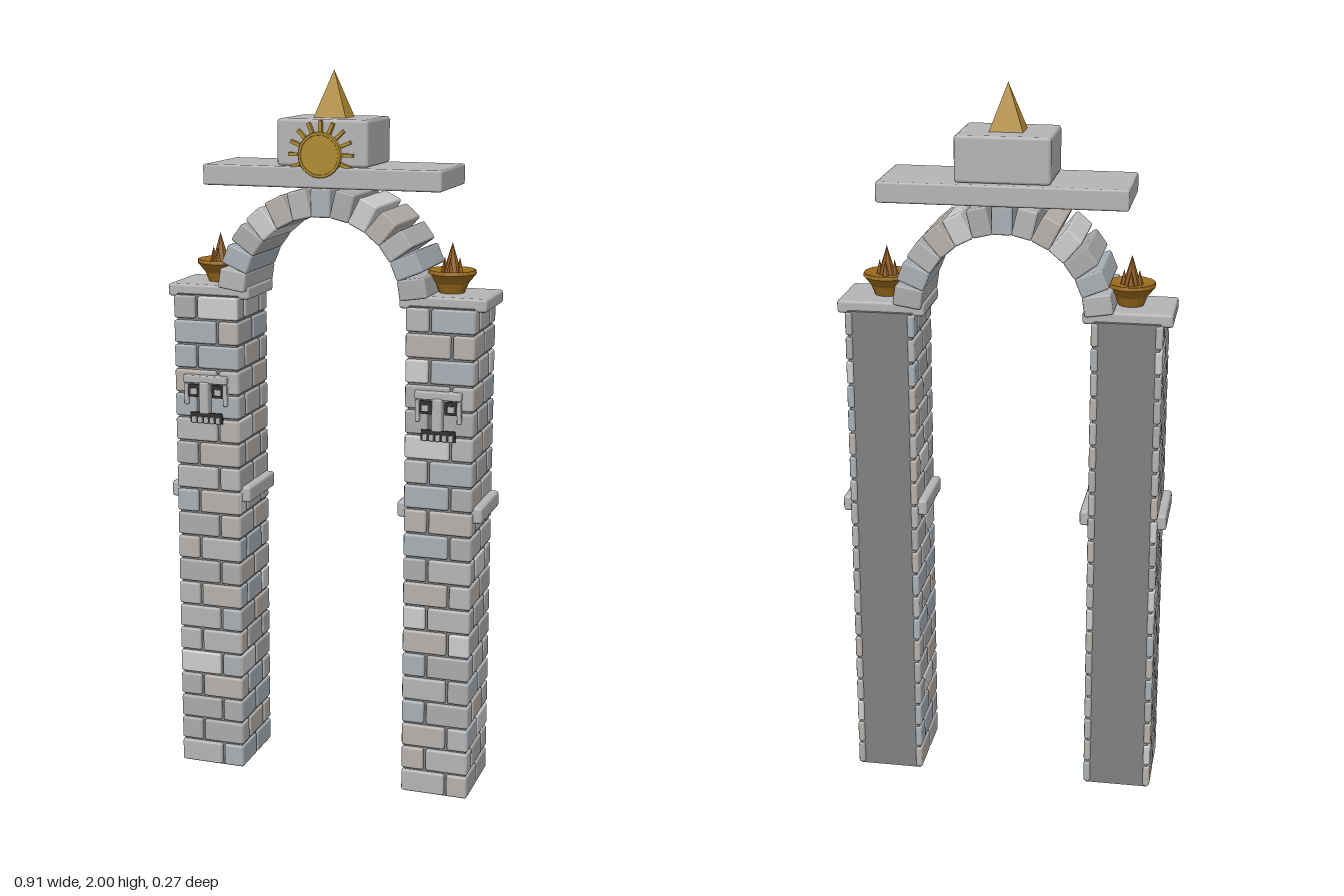
import * as THREE from 'three';
import { RoundedBoxGeometry } from 'three/addons/geometries/RoundedBoxGeometry.js';

const mat = (color, flatShading = false) => new THREE.MeshStandardMaterial({ color, flatShading });
const stone = mat(0xb4b4b4);
const mortar = mat(0x808080);
const dark = mat(0x303030);
const gold = mat(0xb08a30, true);
const bronze = mat(0x9a6a1c, true);
const flameMat = mat(0x8f5a1c, true);
const brickMats = [0xb4b4b4, 0xaaaaaa, 0xb5b0ac, 0xa9afb5, 0xbcbcbc].map((c) => mat(c));

const PILLAR_X = 0.335, MID_Z = -0.007, ROWS = 20, ROW_H = 0.0695;

function add(parent, name, geometry, material, x = 0, y = 0, z = 0) {
  const mesh = new THREE.Mesh(geometry, material);
  mesh.name = name;
  mesh.position.set(x, y, z);
  parent.add(mesh);
  return mesh;
}

const slab = (w, h, d, r = 0.006) => new RoundedBoxGeometry(w, h, d, 1, r);

// Splits the span a..b at the given fractions, leaving a joint between pieces
function split(a, b, cuts, joint = 0.007) {
  const stops = [0, ...cuts, 1].map((t) => a + (b - a) * t);
  return stops.slice(1).map((end, i) => {
    const from = stops[i] + (i ? joint / 2 : 0);
    const to = end - (i < cuts.length ? joint / 2 : 0);
    return { mid: (from + to) / 2, size: to - from };
  });
}

function makePillar(seed) {
  const pillar = new THREE.Group();
  pillar.name = 'pillar';
  let n = seed;
  const tint = () => brickMats[(n = (n * 37 + 11) % 101) % brickMats.length];

  add(pillar, 'pillarCore', new THREE.BoxGeometry(0.178, 1.39, 0.214), mortar, 0, 0.695, -0.01);

  // Brick facing on the front and both sides; the back stays plain
  for (let row = 0; row < ROWS; row++) {
    const y = (row + 0.5) * ROW_H;
    const h = ROW_H - 0.006;
    for (const p of split(-0.095, 0.095, [row % 2 ? 0.35 : 0.67])) {
      add(pillar, 'frontBrick', slab(p.size, h, 0.03), tint(), p.mid, y, 0.093);
    }
    for (const side of [-1, 1]) {
      for (const p of split(-0.122, 0.106, row % 2 ? [0.25, 0.75] : [0.5])) {
        add(pillar, 'sideBrick', slab(0.02, h, p.size), tint(), side * 0.086, y, p.mid);
      }
    }
  }

  add(pillar, 'middleBand', slab(0.24, 0.045, 0.2, 0.008), stone, 0, 0.825, -0.01);
  add(pillar, 'capital', slab(0.242, 0.036, 0.192, 0.008), stone, 0, 1.398, -0.01);
  pillar.add(makeFace(), makeBrazier());
  return pillar;
}

// Carved face on the pillar front
function makeFace() {
  const face = new THREE.Group();
  face.name = 'carvedFace';
  face.position.set(0, 1.1, 0.108);
  add(face, 'brow', slab(0.13, 0.022, 0.034, 0.004), stone, 0, 0.056, 0);
  add(face, 'nose', slab(0.028, 0.09, 0.05, 0.005), stone, 0, 0.005, 0);
  for (const side of [-1, 1]) {
    add(face, 'eyeSocket', new THREE.BoxGeometry(0.036, 0.036, 0.012), dark, side * 0.036, 0.022, 0);
    add(face, 'eye', slab(0.02, 0.018, 0.026, 0.003), stone, side * 0.036, 0.02, 0);
    add(face, 'cheek', slab(0.012, 0.06, 0.02, 0.003), stone, side * 0.058, 0.012, 0);
  }
  add(face, 'mouth', new THREE.BoxGeometry(0.095, 0.03, 0.01), dark, 0, -0.055, 0);
  for (let i = -2; i <= 2; i++) {
    add(face, 'tooth', slab(0.014, 0.018, 0.026, 0.003), stone, i * 0.018, -0.06, 0);
  }
  return face;
}

// Fire bowl standing on the capital
function makeBrazier() {
  const brazier = new THREE.Group();
  brazier.name = 'brazier';
  brazier.position.set(0, 1.414, -0.012);
  const profile = [[0, 0], [0.034, 0], [0.045, 0.028], [0.066, 0.054], [0.064, 0.064], [0.04, 0.058], [0, 0.056]];
  add(brazier, 'bowl', new THREE.LatheGeometry(profile.map(([r, y]) => new THREE.Vector2(r, y)), 14), bronze);
  add(brazier, 'flame', new THREE.ConeGeometry(0.026, 0.085, 8), flameMat, 0, 0.095, 0);
  for (let i = 0; i < 4; i++) {
    const a = (i * Math.PI) / 2;
    add(brazier, 'smallFlame', new THREE.ConeGeometry(0.012, 0.045, 5), flameMat,
      Math.cos(a) * 0.021, 0.075, Math.sin(a) * 0.021);
  }
  return brazier;
}

// Ring of straight blocks fanned around the arch centre
function makeArch() {
  const arch = new THREE.Group();
  arch.name = 'arch';
  const count = 13, step = 0.236;
  for (let i = 0; i < count; i++) {
    const a = (i - (count - 1) / 2) * step;
    const block = add(arch, 'archBlock', slab(0.056, 0.078, 0.228), brickMats[(i * 3) % 5],
      Math.sin(a) * 0.259, 1.396 + Math.cos(a) * 0.259, MID_Z);
    block.rotation.z = -a;
  }
  return arch;
}

// Sun disc with a rim and short rays
function makeSun() {
  const sun = new THREE.Group();
  sun.name = 'sunEmblem';
  sun.position.set(0, 1.782, 0.1);
  add(sun, 'sunDisc', new THREE.CylinderGeometry(0.056, 0.056, 0.024, 24), gold).rotation.x = Math.PI / 2;
  add(sun, 'sunRim', new THREE.TorusGeometry(0.056, 0.006, 6, 24), gold, 0, 0, 0.008);
  for (let i = 0; i < 16; i++) {
    const a = (i * Math.PI) / 8;
    const ray = add(sun, 'sunRay', new THREE.BoxGeometry(0.03, 0.009, 0.014), gold,
      Math.cos(a) * 0.075, Math.sin(a) * 0.075, 0);
    ray.rotation.z = a;
  }
  return sun;
}

export function createModel() {
  const model = new THREE.Group();
  model.name = 'stoneGateway';

  for (const side of [-1, 1]) {
    const pillar = makePillar(side > 0 ? 5 : 42);
    pillar.position.x = side * PILLAR_X;
    model.add(pillar);
  }
  model.add(makeArch());

  // Crown: lintel, block, sun and pyramid finial
  add(model, 'lintel', slab(0.67, 0.056, 0.245), stone, 0, 1.722, -0.012);
  add(model, 'crownBlock', slab(0.256, 0.125, 0.206, 0.009), stone, 0, 1.812, -0.012);
  model.add(makeSun());
  const pyramid = new THREE.ConeGeometry(Math.SQRT1_2, 1, 4);
  pyramid.rotateY(Math.PI / 4);
  pyramid.scale(0.092, 0.127, 0.078);
  add(model, 'finial', pyramid, gold, 0, 1.9365, -0.012);
  return model;
}
